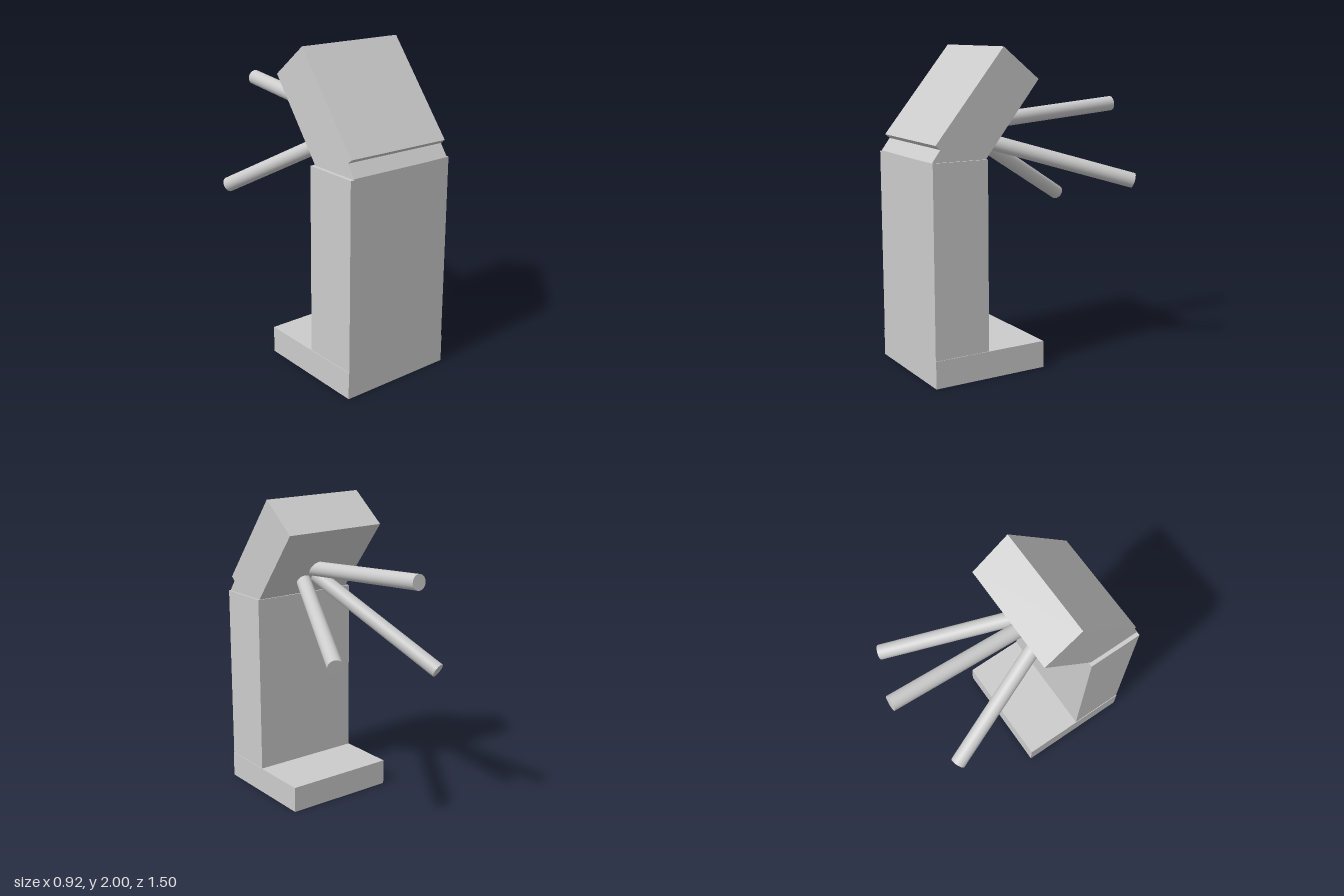
import * as THREE from 'three';

const material = new THREE.MeshStandardMaterial({ color: 0xcccccc });

export function createModel() {
  const model = new THREE.Group();
  model.name = 'model';

  function add(name, geometry) {
    const mesh = new THREE.Mesh(geometry, material);
    mesh.name = name;
    model.add(mesh);
    return mesh;
  }

  // Base slab, projecting to the back of the column
  add('base', new THREE.BoxGeometry(0.75, 0.17, 0.75)).position.set(-0.085, 0.085, 0.375);

  // Upright column
  add('column', new THREE.BoxGeometry(0.742, 1.17, 0.36)).position.set(-0.085, 0.755, 0.57);

  // Tilted head with a notch near its lower front edge: side profile as [z, y]
  const profile = [
    [0.278, 2.0], [0.036, 1.807], [0.41, 1.33], [0.75, 1.33],
    [0.75, 1.345], [0.695, 1.42], [0.725, 1.445],
  ];
  const width = 0.705;
  const shape = new THREE.Shape(profile.map(([z, y]) => new THREE.Vector2(-z, y - 1.34)));
  const headGeometry = new THREE.ExtrudeGeometry(shape, { depth: width, bevelEnabled: false });
  headGeometry.translate(0, 0, -width / 2).rotateY(Math.PI / 2);
  const head = add('head', headGeometry);
  head.position.set(-0.079, 1.337, 0);
  head.rotation.z = -0.011; // slight sideways lean

  // Round rods fanning out from the back of the head
  function rod(name, start, end) {
    const a = new THREE.Vector3(...start);
    const b = new THREE.Vector3(...end);
    const direction = b.clone().sub(a);
    const mesh = add(name, new THREE.CylinderGeometry(0.048, 0.048, direction.length(), 32));
    mesh.position.copy(a).add(b).multiplyScalar(0.5);
    mesh.quaternion.setFromUnitVectors(new THREE.Vector3(0, 1, 0), direction.normalize());
  }
  rod('middleRod', [-0.078, 1.513, 0.38], [-0.056, 1.61, -0.75]);
  rod('leftRod', [-0.05, 1.46, 0.38], [0.412, 1.157, -0.588]);
  rod('rightRod', [-0.1, 1.503, 0.38], [-0.41, 0.973, -0.558]);

  return model;
}
